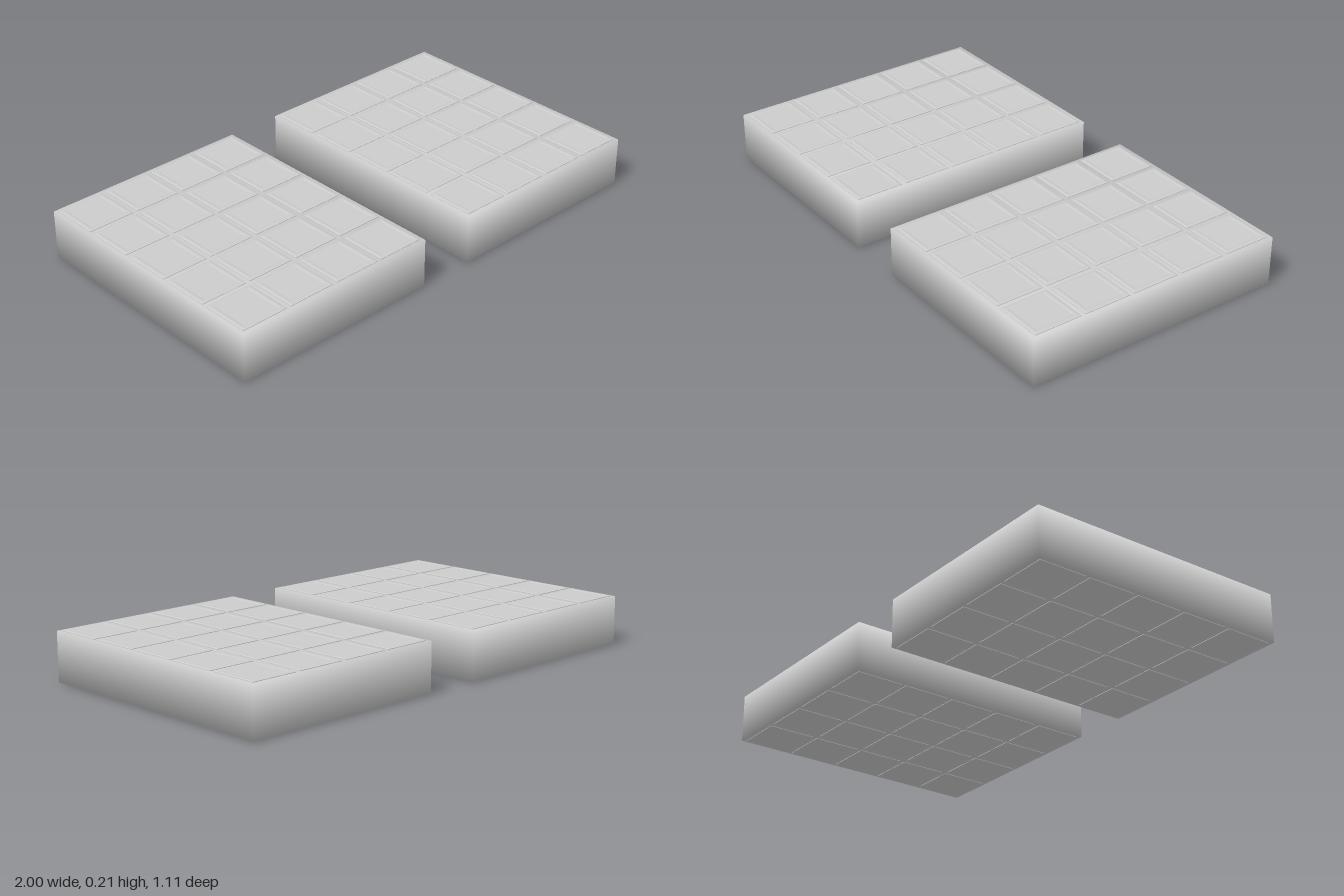
import * as THREE from 'three';
import { mergeVertices } from 'three/addons/utils/BufferGeometryUtils.js';

const WIDTH = 0.883, DEPTH = 1.107, HEIGHT = 0.209, LIFT = 0.004;
const PITCH = 0.219, COLS = 4, ROWS = 5;

// Box whose corners share smooth normals
function softBox(w, h, d) {
  const box = new THREE.BoxGeometry(w, h, d);
  box.deleteAttribute('uv');
  box.deleteAttribute('normal');
  const geometry = mergeVertices(box);
  geometry.computeVertexNormals();
  return geometry;
}

// Square tile with a bevelled rim and a slightly sunken centre: [half width, height]
function tileGeometry() {
  const profile = [[0.1, 0], [0.1, 0.002], [0.093, LIFT], [0.084, LIFT], [0.079, 0.0025], [0, 0.0025]];
  const points = profile.map(([half, y]) => new THREE.Vector2(half * Math.SQRT2, y));
  return new THREE.LatheGeometry(points, 4).rotateY(Math.PI / 4);
}

export function createModel() {
  const model = new THREE.Group();
  model.name = 'tiledSlabs';
  const smooth = new THREE.MeshStandardMaterial({ color: 0xcccccc });
  const faceted = new THREE.MeshStandardMaterial({ color: 0xcccccc, flatShading: true });
  const bodyGeometry = softBox(WIDTH, HEIGHT - 2 * LIFT, DEPTH);
  const tile = tileGeometry();

  for (const [side, name] of [[-1, 'right'], [1, 'left']]) {
    const slab = new THREE.Group();
    slab.name = name + 'Slab';
    slab.position.x = side * (1 - WIDTH / 2);

    const body = new THREE.Mesh(bodyGeometry, smooth);
    body.name = 'slabBody';
    body.position.y = HEIGHT / 2;
    slab.add(body);

    // Tile grids on the upper and lower faces
    for (const top of [true, false]) {
      const grid = new THREE.Group();
      grid.name = top ? 'topTiles' : 'bottomTiles';
      grid.position.y = top ? HEIGHT - LIFT : LIFT;
      if (!top) grid.rotation.x = Math.PI;
      for (let c = 0; c < COLS; c++) {
        for (let r = 0; r < ROWS; r++) {
          const mesh = new THREE.Mesh(tile, faceted);
          mesh.name = 'tile';
          mesh.position.set((c - (COLS - 1) / 2) * PITCH, 0, (r - (ROWS - 1) / 2) * PITCH);
          grid.add(mesh);
        }
      }
      slab.add(grid);
    }
    model.add(slab);
  }
  return model;
}
